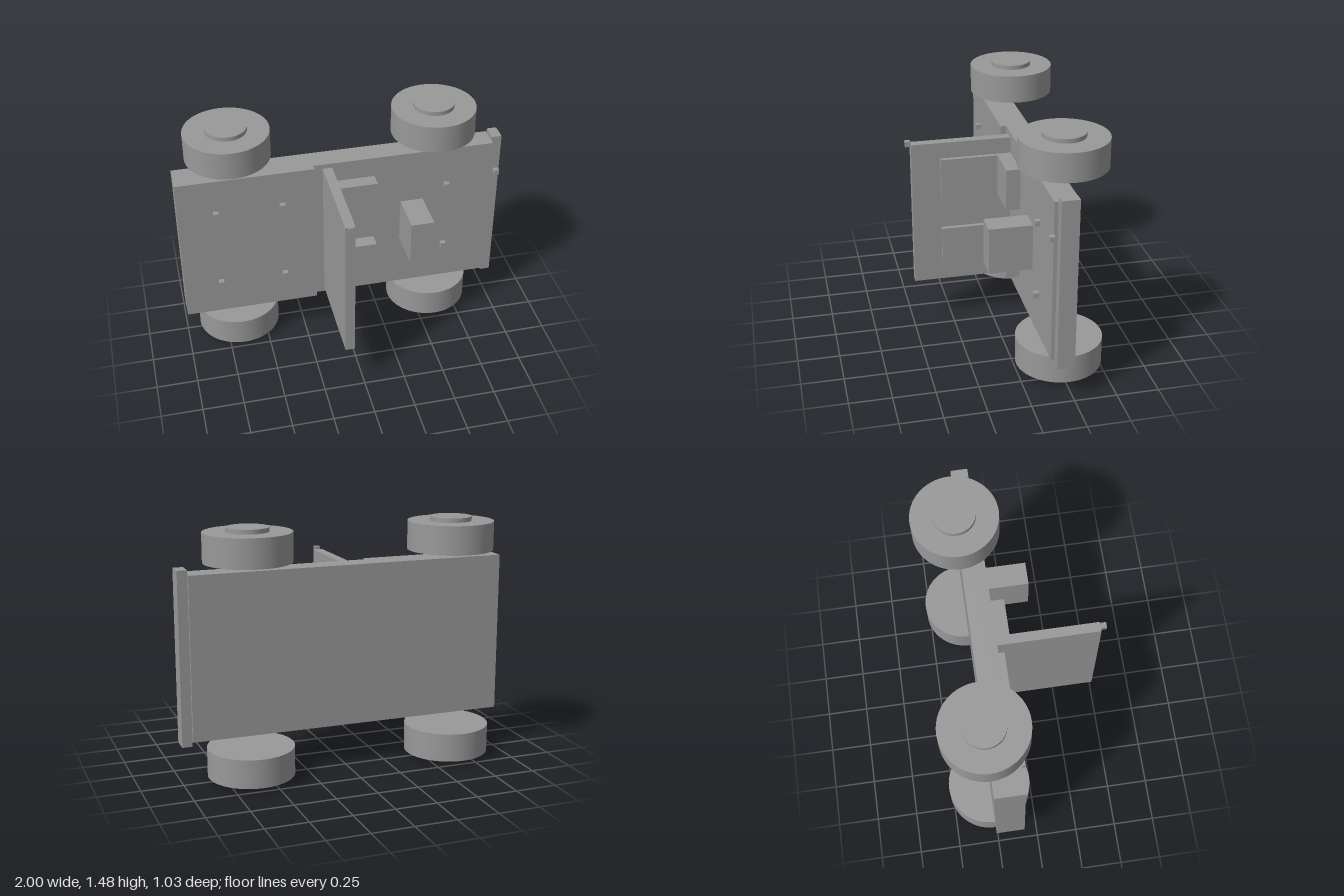
import * as THREE from 'three';

export function createModel() {
  const model = new THREE.Group();
  model.name = 'vehicle';
  const grey = new THREE.MeshStandardMaterial({ color: 0x999999 });
  grey.name = 'grey';

  // Box given by its limits on each axis
  function box(name, [x0, x1], [y0, y1], [z0, z1]) {
    const mesh = new THREE.Mesh(new THREE.BoxGeometry(x1 - x0, y1 - y0, z1 - z0), grey);
    mesh.position.set((x0 + x1) / 2, (y0 + y1) / 2, (z0 + z1) / 2);
    mesh.name = name;
    model.add(mesh);
  }

  // Upright disc between two heights
  function disc(name, radius, x, y0, y1) {
    const mesh = new THREE.Mesh(new THREE.CylinderGeometry(radius, radius, y1 - y0, 64), grey);
    mesh.position.set(x, (y0 + y1) / 2, -0.262);
    mesh.name = name;
    model.add(mesh);
  }

  // Small fixing cube resting on the plane z
  function fixing(x, y, z) {
    const h = 0.016;
    box('fixing', [x - h, x + h], [y - h, y + h], [z, z + 2 * h]);
  }

  // Body
  box('chassis', [-1, 0.94], [0.255, 1.225], [-0.26, -0.12]);
  box('cargoBed', [-1, -0.175], [0.255, 1.225], [-0.12, -0.085]);
  box('bumper', [0.94, 1], [0.226, 1.254], [-0.244, -0.142]);
  box('bulkhead', [-0.118, -0.06], [0.284, 1.196], [-0.12, 0.483]);
  box('console', [0.368, 0.51], [0.6, 0.882], [-0.12, 0.138]);

  // Seats
  for (const y of [0.385, 0.84]) {
    box('seatBase', [-0.032, 0.2], [y, y + 0.257], [-0.12, -0.035]);
    box('seatBack', [-0.06, -0.032], [y, y + 0.257], [-0.12, 0.31]);
  }

  // Fixings on the bed, floor, bumper and bulkhead
  for (const x of [-0.774, -0.374]) for (const y of [0.484, 1.0]) fixing(x, y, -0.085);
  for (const y of [0.514, 0.97]) fixing(0.654, y, -0.12);
  fixing(0.968, 1.027, -0.118);
  fixing(-0.089, 1.198, 0.483);

  // Wheels with hubs on their outer faces
  for (const x of [-0.66, 0.597]) {
    disc('wheel', 0.256, x, 0.027, 0.198);
    disc('hub', 0.124, x, 0, 0.027);
    disc('wheel', 0.256, x, 1.283, 1.454);
    disc('hub', 0.124, x, 1.454, 1.48);
  }
  return model;
}
